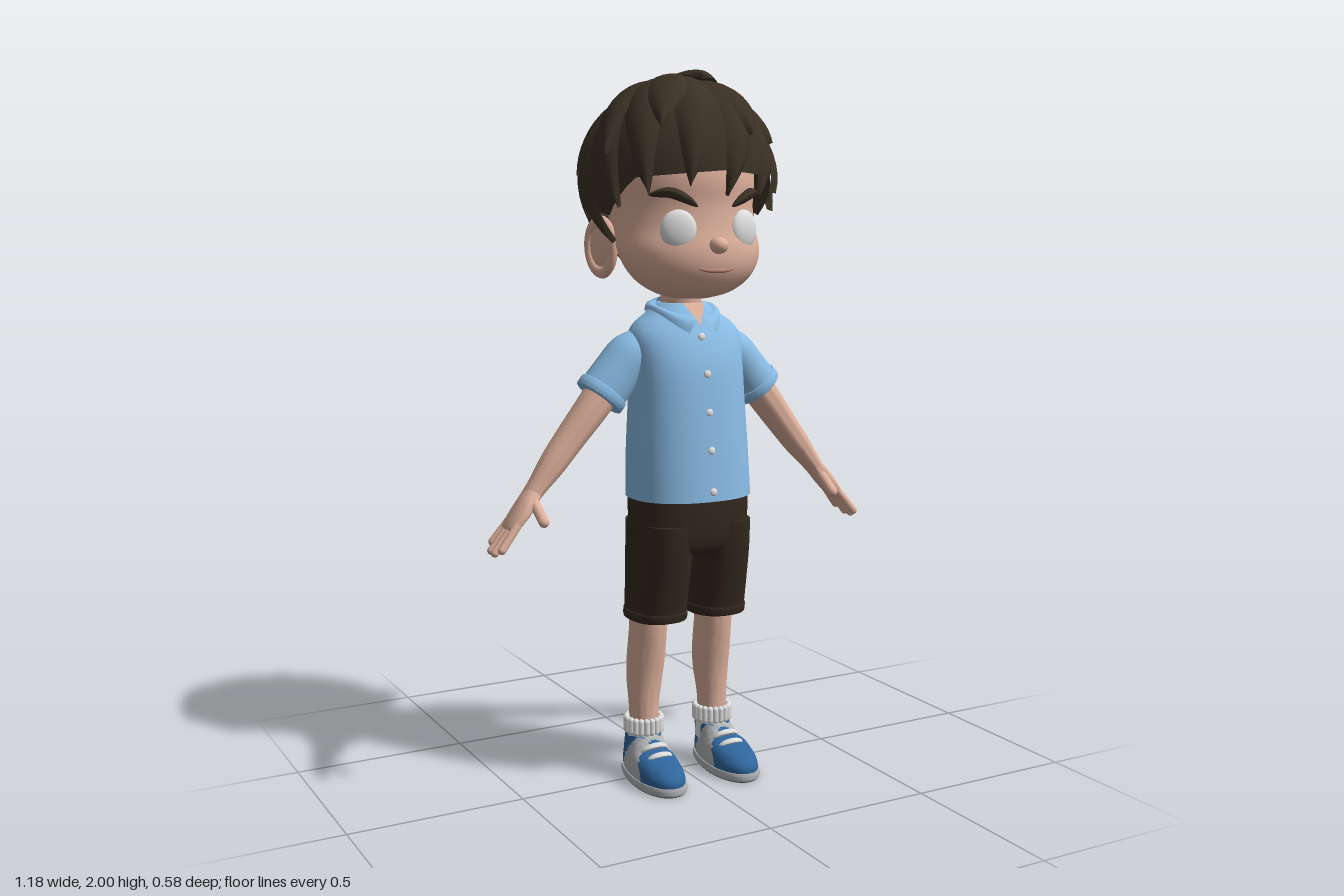
import * as THREE from 'three';
import { toCreasedNormals } from 'three/addons/utils/BufferGeometryUtils.js';

const mat = (name, color, side = THREE.FrontSide) => {
  const m = new THREE.MeshStandardMaterial({ color, side });
  m.name = name;
  return m;
};
const V = (x, y, z) => new THREE.Vector3(x, y, z);
const rad = THREE.MathUtils.degToRad;

// Indexed surface from a rule p(u index, v index); wrap closes the u direction
function grid(nu, nv, wrap, p) {
  const pos = [], idx = [], cols = wrap ? nu : nu + 1;
  for (let j = 0; j <= nv; j++) for (let i = 0; i < cols; i++) pos.push(...p(i / nu, j, i).toArray());
  for (let j = 0; j < nv; j++) for (let i = 0; i < nu; i++) {
    const k = (i + 1) % cols, a = j * cols + i, b = j * cols + k;
    idx.push(a, a + cols, b, b, a + cols, b + cols);
  }
  const g = new THREE.BufferGeometry();
  g.setAttribute('position', new THREE.Float32BufferAttribute(pos, 3));
  g.setIndex(idx);
  g.computeVertexNormals();
  return g;
}

// Closed body through oval sections [y, centreX, centreZ, radiusX, radiusZ]
function loft(rows, n = 2, seg = 32, warp = null) {
  rows = [...rows].sort((a, b) => a[0] - b[0]);
  const sub = 4, last = (rows.length - 1) * sub, rings = [];
  for (let k = 0; k <= last; k++) {
    const i = Math.min(Math.floor(k / sub), rows.length - 2), t = k / sub - i;
    const at = (q) => rows[Math.max(0, Math.min(rows.length - 1, q))];
    rings.push(rows[0].map((_, c) => {
      const [a, b, d, e] = [at(i - 1)[c], at(i)[c], at(i + 1)[c], at(i + 2)[c]];
      return b + 0.5 * t * (d - a + t * (2 * a - 5 * b + 4 * d - e + t * (3 * (b - d) + e - a)));
    }));
  }
  const flat = (r) => [r[0], r[1], r[2], 0, 0];
  rings.unshift(flat(rings[0]));
  rings.push(flat(rings[rings.length - 1]));
  const pw = (c) => Math.sign(c) * Math.abs(c) ** (2 / n);
  const g = grid(seg, rings.length - 1, true, (u, j) => {
    const [y, cx, cz, rx, rz] = rings[j], a = u * Math.PI * 2;
    const v = V(cx + rx * pw(Math.cos(a)), y, cz + rz * pw(Math.sin(a)));
    if (warp) warp(v);
    return v;
  });
  return toCreasedNormals(g, 0.9);
}

// Tube whose thickness swells in the middle and closes at both ends
function taperTube(points, r) {
  const curve = new THREE.CatmullRomCurve3(points), n = 20, m = 8;
  const g = new THREE.TubeGeometry(curve, n, r, m), p = g.attributes.position;
  for (let i = 0; i <= n; i++) {
    const c = curve.getPointAt(i / n), f = Math.max(0, Math.sin(Math.PI * i / n)) ** 0.6;
    for (let j = 0; j <= m; j++) {
      const k = i * (m + 1) + j, v = V(p.getX(k), p.getY(k), p.getZ(k)).sub(c).multiplyScalar(f).add(c);
      p.setXYZ(k, v.x, v.y, v.z);
    }
  }
  g.computeVertexNormals();
  return g;
}

export function createModel() {
  const root = new THREE.Group();
  root.name = 'boy';
  const skin = mat('skin', 0xdfb19d, THREE.DoubleSide), hairM = mat('hair brown', 0x3a3024, THREE.DoubleSide);
  const shirtM = mat('shirt blue', 0x8abce5, THREE.DoubleSide), shortsM = mat('shorts brown', 0x33291e);
  const white = mat('white', 0xe2e2e2), blue = mat('shoe blue', 0x2f659c), grey = mat('shoe grey', 0xb2b4b6);
  const lip = mat('lip', 0xb98272), soleM = mat('outsole', 0x66686a);
  const add = (name, geo, m, parent = root) => {
    const mesh = new THREE.Mesh(geo, m);
    mesh.name = name;
    parent.add(mesh);
    return mesh;
  };
  const ball = (name, m, p, s, parent) => {
    const b = add(name, new THREE.SphereGeometry(1, 28, 18), m, parent);
    b.position.set(...p);
    b.scale.set(...s);
    return b;
  };

  // Head and neck
  const head = [[1.385, .05, .11, 0], [1.4, .105, .16, -.03], [1.43, .157, .19, -.06], [1.47, .19, .21, -.09],
    [1.52, .207, .213, -.12], [1.58, .205, .2, -.17], [1.64, .205, .195, -.2], [1.72, .21, .2, -.22],
    [1.82, .19, .17, -.2], [1.9, .1, .08, -.12]];
  add('head', loft(head.map(([y, w, f, b]) => [y, 0, (f + b) / 2, w, (f - b) / 2]), 2, 48), skin);
  add('neck', loft([[1.3, 0, 0, .06, .06], [1.37, 0, .003, .056, .06], [1.45, 0, .005, .06, .065]]), skin);
  ball('nose', skin, [0, 1.532, .214], [.026, .023, .028]);
  add('mouth', taperTube([V(-.062, 1.471, .198), V(-.03, 1.465, .208), V(0, 1.464, .212), V(.03, 1.465, .208), V(.062, 1.471, .198)], .006), lip);
  for (const s of [1, -1]) {
    ball('eye', white, [s * .101, 1.573, .174], [.05, .054, .021]).rotation.y = s * .35;
    add('eyebrow', taperTube([V(s * .052, 1.634, .195), V(s * .085, 1.654, .19), V(s * .125, 1.671, .172), V(s * .168, 1.665, .128)], .015), hairM);
    const ear = new THREE.Group();
    ear.name = 'ear';
    ear.position.set(s * .222, 1.525, -.05);
    ear.rotation.set(.12, -s * .5, -s * .1);
    root.add(ear);
    ball('earBase', skin, [-s * .008, 0, 0], [.018, .078, .048], ear);
    const rim = add('earRim', new THREE.TorusGeometry(.043, .011, 10, 32), skin, ear);
    rim.rotation.y = Math.PI / 2;
    rim.scale.set(1, 1.65, 1.2);
  }

  // Hair: a cap and leaf-shaped locks fanning out from the crown over an oval
  const hair = new THREE.Group();
  hair.name = 'hair';
  root.add(hair);
  const centre = V(0, 1.71, -.02), size = V(.262, .273, .272), crown = V(.22, .82, -.53).normalize();
  const dirAt = (deg, y) => {
    const v = (y - 1.71) / (y < 1.71 ? .3 : .28), h = Math.sqrt(Math.max(0, 1 - v * v));
    return V(Math.sin(rad(deg)) * h, v, Math.cos(rad(deg)) * h);
  };
  const slerp = (a, b, t) => {
    const w = a.angleTo(b), k = Math.sin(w);
    return a.clone().multiplyScalar(Math.sin((1 - t) * w) / k).addScaledVector(b, Math.sin(t * w) / k);
  };
  const place = (d, r) => d.clone().multiply(size).multiplyScalar(r).add(centre);
  const line = [[0, 1.73], [55, 1.71], [78, 1.6], [100, 1.62], [120, 1.56], [180, 1.46]];
  const hairline = (deg) => {
    const a = Math.min(180, Math.abs(deg)), i = Math.max(1, line.findIndex((q) => q[0] >= a));
    const [p, q] = [line[i - 1], line[i]];
    return p[1] + (q[1] - p[1]) * (a - p[0]) / (q[0] - p[0]);
  };
  add('hairCap', grid(60, 14, true, (u, j) => {
    const deg = u * 360 - 180;
    return place(slerp(crown, dirAt(deg, hairline(deg)), j / 14), .985);
  }), hairM, hair);
  function lock(deg, yEnd, w, flare, base) {
    const end = dirAt(deg, yEnd), n = 16, axis = crown.clone().cross(end).normalize();
    add('hairLock', grid(8, n, false, (u, j) => {
      const t = j / n, e = u * 2 - 1, sw = Math.sin(Math.PI * t ** .85);
      const half = w * Math.max(0, sw) ** .75 + .02 * (1 - t);
      const d = slerp(crown, end, t).addScaledVector(axis, half * e + .08 * Math.sin(Math.PI * t)).normalize();
      return place(d, base + .06 * (1 - e * e) * Math.min(1, t * 5) + flare * t ** 3);
    }), hairM, hair);
  }
  const lower = [[0, 1.66, .03], [-22, 1.685, .05], [-45, 1.665, .05], [-64, 1.63, .05], [24, 1.665, .04], [45, 1.67, .04],
    [64, 1.62, .03], [80, 1.53, .02], [-80, 1.53, .03], [98, 1.6, .04], [-98, 1.6, .04], [117, 1.52, .02], [-117, 1.52, .02],
    [135, 1.47, 0], [-135, 1.47, 0], [153, 1.44, 0], [-153, 1.44, 0], [171, 1.42, 0], [-171, 1.425, 0]];
  for (const [a, y, f] of lower) lock(a, y, .23, f, .975);
  const upper = [[14, 1.81, .14], [-38, 1.83, .12], [-10, 1.93, .22], [42, 1.8, .05], [78, 1.74, .03], [-72, 1.77, .05],
    [-108, 1.72, .02], [110, 1.68, .02], [145, 1.62, 0], [-145, 1.62, 0], [180, 1.6, 0]];
  for (const [a, y, f] of upper) lock(a, y, .25, f, .99);

  // Shirt with collar and buttons
  add('shirt', loft([[.83, 0, .046, .178, .148], [.95, 0, .04, .175, .143], [1.1, 0, .036, .168, .131], [1.2, 0, .03, .167, .122],
    [1.27, 0, .022, .168, .105], [1.31, 0, .014, .15, .091], [1.345, 0, .006, .1, .079], [1.37, 0, 0, .07, .066]], 2.3, 48), shirtM);
  for (const s of [1, -1]) add('collar', grid(24, 4, false, (u, j) => {
    const t = j / 4, puff = .01 * Math.sin(Math.PI * t);
    const a = u * Math.PI * (.97 - .1 * t), c = Math.cos(a), k = Math.max(0, c), f = Math.max(0, -c);
    const r = .068 + .034 * t + puff;
    const z = -c * (c > 0 ? .066 + .03 * t + puff : .1 + .04 * t + puff);
    const y = (1.362 + .025 * c) * (1 - t) + (1.352 - .015 * k - .072 * f * f) * t + puff;
    return V(s * Math.sin(a) * r, y, z);
  }), shirtM);
  const throat = new THREE.BufferGeometry().setFromPoints([V(-.034, 1.372, .078), V(0, 1.312, .119), V(.034, 1.372, .078)]);
  throat.computeVertexNormals();
  add('throat', throat, skin);
  for (const [y, z] of [[1.28, .123], [1.18, .156], [1.075, .168], [.97, .18], [.857, .192]])
    ball('button', white, [0, y, z], [.011, .011, .006]);

  // Arms with sleeves and hands; each hangs along its own -y axis
  for (const s of [1, -1]) {
    const arm = new THREE.Group();
    arm.name = s > 0 ? 'leftArm' : 'rightArm';
    arm.position.set(s * .17, 1.22, 0);
    arm.rotation.z = s * rad(39);
    root.add(arm);
    add('sleeve', loft([[.07, 0, 0, .035, .05], [.02, 0, 0, .06, .07], [-.05, 0, 0, .066, .068], [-.125, 0, 0, .069, .064]]), shirtM, arm);
    add('sleeveCuff', loft([[-.108, 0, 0, .069, .064], [-.112, 0, 0, .074, .068], [-.136, 0, 0, .074, .068], [-.14, 0, 0, .068, .062]]), shirtM, arm);
    add('forearm', loft([[-.08, 0, 0, .05, .052], [-.18, 0, 0, .046, .05], [-.28, 0, -.003, .041, .046], [-.36, 0, -.002, .037, .041],
      [-.43, 0, 0, .028, .034], [-.48, 0, 0, .023, .034]]), skin, arm);
    add('palm', loft([[-.45, 0, 0, .024, .032], [-.49, 0, .006, .024, .042], [-.53, 0, .008, .021, .046], [-.57, 0, .008, .016, .043], [-.58, 0, .008, .01, .038]]), skin, arm);
    const finger = (name, a, b, r) => {
      const d = b.clone().sub(a), f = add(name, new THREE.CapsuleGeometry(r, d.length(), 6, 12), skin, arm);
      f.position.copy(a).addScaledVector(d, .5);
      f.quaternion.setFromUnitVectors(V(0, 1, 0), d.normalize());
    };
    [.625, .648, .65, .635].forEach((len, i) =>
      finger('finger', V(0, -.55, -.025 + i * .022), V(0, -len, -.033 + i * .028), .0115));
    finger('thumb', V(-s * .004, -.475, .022), V(-s * .035, -.512, .092), .0145);
  }

  // Shorts, legs, socks and shoes
  add('shortsSeat', loft([[.67, 0, .042, .1, .1], [.7, 0, .043, .165, .122], [.78, 0, .045, .173, .13], [.86, 0, .045, .172, .13]], 2.4, 40), shortsM);
  const taper = (v) => { v.x = .12 + (v.x - .12) * (.85 + .15 * THREE.MathUtils.smoothstep(v.z, -.06, .1)); };
  for (const s of [1, -1]) {
    const leg = new THREE.Group();
    leg.name = s > 0 ? 'leftLeg' : 'rightLeg';
    root.add(leg);
    // section centres and shapes are given for +x and mirrored by sign
    const body = (name, rows, m, n, warp) => add(name, loft(rows.map(([y, x, ...r]) => [y, s * x, ...r]), n, 40,
      warp && ((v) => { v.x *= s; warp(v); v.x *= s; })), m, leg);
    body('shortsLeg', [[.48, .095, .024, .08, .096], [.58, .094, .034, .08, .108], [.68, .092, .042, .08, .121], [.76, .09, .045, .08, .126]], shortsM, 2.4);
    body('shortsHem', [[.478, .095, .024, .08, .096], [.482, .095, .024, .083, .099], [.502, .095, .026, .083, .1], [.506, .095, .026, .08, .097]], shortsM, 2.4);
    body('shin', [[.55, .105, .008, .056, .065], [.45, .107, .004, .052, .063], [.36, .108, -.008, .054, .06], [.29, .11, -.015, .051, .055],
      [.21, .113, -.013, .043, .046], [.12, .113, -.012, .04, .043]], skin);
    body('sock', [[.08, .114, -.01, .05, .055], [.13, .114, -.012, .047, .05], [.172, .114, -.012, .05, .053]], white);
    for (let i = 0; i < 20; i++) {
      const a = i / 20 * Math.PI * 2;
      const rib = add('sockRib', new THREE.CapsuleGeometry(.0095, .032, 4, 8), white, leg);
      rib.position.set(s * .114 + Math.cos(a) * .05, .155, -.012 + Math.sin(a) * .052);
    }
    body('outsole', [[0, .12, .055, .066, .142], [.005, .12, .055, .069, .146]], soleM, 2.3, taper);
    body('sole', [[.004, .12, .055, .07, .146], [.014, .12, .055, .073, .148], [.026, .12, .055, .07, .146]], grey, 2.3, taper);
    const shoe = body('shoe', [[.018, .12, .055, .067, .142], [.045, .12, .053, .068, .142], [.072, .12, .036, .063, .12],
      [.095, .118, .004, .057, .085], [.118, .115, -.012, .053, .068], [.126, .114, -.013, .05, .062]], [blue, grey], 2.2, taper);
    // grey side panels between blue toe and heel
    const p = shoe.geometry.attributes.position;
    let start = 0, current = -1;
    for (let i = 0; i <= p.count; i += 3) {
      const mid = (f) => (p[f](i) + p[f](i + 1) + p[f](i + 2)) / 3;
      const y = i < p.count ? mid('getY') : 0, z = i < p.count ? mid('getZ') : 0;
      const k = i === p.count ? -1 : z < .125 - .6 * y && z > -.065 + .7 * y ? 1 : 0;
      if (k !== current) {
        if (current >= 0) shoe.geometry.addGroup(start, i - start, current);
        start = i;
        current = k;
      }
    }
    for (const [y, z] of [[.09, .1], [.108, .07]])
      add('lace', taperTube([V(s * .07, y - .02, z - .015), V(s * .095, y, z), V(s * .14, y, z), V(s * .165, y - .02, z - .015)], .009), white, leg);
    const tab = add('heelTab', new THREE.TorusGeometry(.011, .004, 6, 16), blue, leg);
    tab.position.set(s * .115, .108, -.082);
    tab.rotation.y = Math.PI / 2;
  }
  return root;
}
